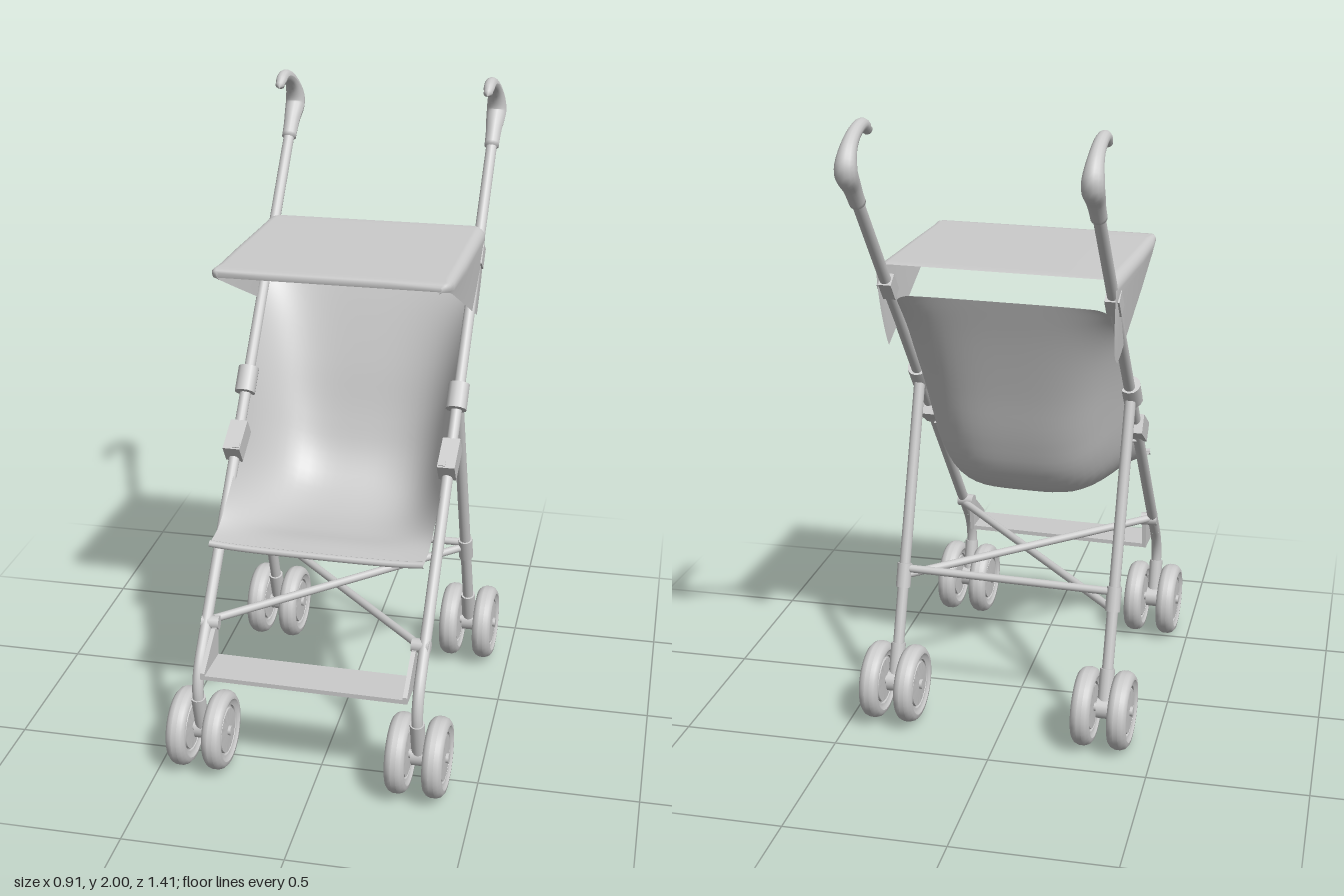
import * as THREE from 'three';
import { toCreasedNormals } from 'three/addons/utils/BufferGeometryUtils.js';

const grey = new THREE.MeshStandardMaterial({ color: 0xcccccc });
const cloth = new THREE.MeshStandardMaterial({ color: 0xcccccc, side: THREE.DoubleSide });
const V = (x, y, z) => new THREE.Vector3(x, y, z);
const lerp = THREE.MathUtils.lerp;
const HALF = 0.348; // half distance between the two side frames
const AXLE_Y = 0.13;

function add(parent, name, geometry, material = grey) {
  const mesh = new THREE.Mesh(geometry, material);
  mesh.name = name;
  parent.add(mesh);
  return mesh;
}

// Straight round bar between two points
function bar(parent, name, a, b, r, sides = 14) {
  const mesh = add(parent, name, new THREE.CylinderGeometry(r, r, a.distanceTo(b), sides));
  mesh.position.copy(a).lerp(b, 0.5);
  mesh.quaternion.setFromUnitVectors(V(0, 1, 0), b.clone().sub(a).normalize());
  return mesh;
}

// Smooth surface through rows of points
function sheet(rows) {
  const n = rows[0].length, index = [];
  for (let i = 0; i < rows.length - 1; i++)
    for (let j = 0; j < n - 1; j++) {
      const a = i * n + j, b = a + n;
      index.push(a, b, a + 1, b, b + 1, a + 1);
    }
  const g = new THREE.BufferGeometry().setFromPoints(rows.flat());
  g.setIndex(index);
  g.computeVertexNormals();
  return g;
}

// Round tube with a radius that changes along its length, closed at both ends
function taperTube(curve, radius, steps, sides = 14) {
  const g = new THREE.TubeGeometry(curve, steps, 1, sides);
  const p = g.attributes.position, c = V(), q = V();
  for (let i = 0; i <= steps; i++) {
    curve.getPointAt(i / steps, c);
    for (let j = 0; j <= sides; j++) {
      const k = i * (sides + 1) + j;
      q.fromBufferAttribute(p, k).sub(c).multiplyScalar(radius(i / steps)).add(c);
      p.setXYZ(k, q.x, q.y, q.z);
    }
  }
  g.computeVertexNormals();
  return g;
}

const curveZY = (x, pts) => new THREE.CatmullRomCurve3(pts.map(([z, y]) => V(x, y, z)));

// Pair of wheels with hub, axle and fork sleeve
function wheelPair(x, z, name) {
  const group = new THREE.Group();
  group.name = name;
  const half = [[0.125, 0.008], [0.12, 0.021], [0.11, 0.03], [0.099, 0.031], [0.092, 0.025], [0.08, 0.023],
    [0.078, 0.017], [0.073, 0.017], [0.071, 0.024], [0.03, 0.026], [0, 0.026]];
  const profile = [...half.map(([r, y]) => [r, -y]).reverse(), ...half].map(p => new THREE.Vector2(...p));
  const wheel = toCreasedNormals(new THREE.LatheGeometry(profile, 36).rotateZ(Math.PI / 2), 0.7);
  for (const s of [-1, 1]) {
    add(group, 'wheel', wheel).position.x = s * 0.058;
    bar(group, 'hubBolt', V(s * 0.08, 0, 0), V(s * 0.093, 0, 0), 0.016, 10);
  }
  bar(group, 'axle', V(-0.06, 0, 0), V(0.06, 0, 0), 0.014);
  bar(group, 'hubBlock', V(-0.022, 0, 0), V(0.022, 0, 0), 0.034, 20);
  group.position.set(x, AXLE_Y, z);
  return group;
}

// One side of the frame; s is +1 for left and -1 for right
function sideFrame(s) {
  const group = new THREE.Group();
  group.name = s > 0 ? 'leftFrame' : 'rightFrame';
  const x = s * HALF;

  const foot = new THREE.CurvePath();
  foot.add(new THREE.LineCurve3(V(x, 1.78, -0.585), V(x, 0.4, 0.548)));
  foot.add(new THREE.QuadraticBezierCurve3(V(x, 0.4, 0.548), V(x, 0.33, 0.61), V(x, 0.25, 0.602)));
  foot.add(new THREE.LineCurve3(V(x, 0.25, 0.602), V(x, AXLE_Y, 0.567)));
  for (const [i, c] of foot.curves.entries())
    add(group, 'mainTube', new THREE.TubeGeometry(c, i === 1 ? 10 : 1, 0.018, 14));
  bar(group, 'frontForkSleeve', V(x, 0.26, 0.602), V(x, 0.13, 0.572), 0.023);

  // Rear leg
  bar(group, 'rearLeg', V(x, 1.08, -0.012), V(x, AXLE_Y, -0.305), 0.018);
  bar(group, 'rearForkSleeve', V(x, 0.25, -0.268), V(x, 0.13, -0.305), 0.024);
  group.add(wheelPair(x, 0.567, 'frontWheels'), wheelPair(x, -0.305, 'rearWheels'));

  // Hooked hand grip
  const grip = curveZY(x, [[-0.565, 1.755], [-0.62, 1.82], [-0.663, 1.868], [-0.645, 1.92],
    [-0.59, 1.963], [-0.52, 1.978], [-0.468, 1.95]]);
  add(group, 'handGrip', taperTube(grip, t => {
    if (t === 0 || t === 1) return 0.001;
    return t > 0.94 ? 0.015 : 0.024 + 0.009 * Math.exp(-(((t - 0.36) / 0.16) ** 2)) - 0.007 * Math.max(0, t - 0.4) / 0.6;
  }, 36));

  // Hinge bracket where the rear leg meets the tube, and the folding latch below it
  const hinge = add(group, 'hingeBracket', new THREE.CylinderGeometry(0.034, 0.034, 0.085, 12));
  hinge.position.set(x, 1.09, -0.008);
  hinge.rotation.x = -0.68;
  const latch = add(group, 'foldingLatch', new THREE.BoxGeometry(0.056, 0.064, 0.115));
  latch.position.set(x, 0.93, 0.12);
  latch.rotation.x = 0.55;
  const lever = add(group, 'latchLever', new THREE.BoxGeometry(0.022, 0.075, 0.022));
  lever.position.set(x - s * 0.014, 0.905, 0.155);
  lever.rotation.x = 0.5;

  // Joints for the cross braces
  bar(group, 'frontBraceJoint', V(x - s * 0.04, 0.465, 0.485), V(x + s * 0.015, 0.465, 0.49), 0.022);
  bar(group, 'rearBraceJoint', V(x, 0.50, -0.191), V(x, 0.425, -0.214), 0.024);
  // Canopy clip
  const clip = add(group, 'canopyClip', new THREE.BoxGeometry(0.045, 0.07, 0.045));
  clip.position.set(x, 1.46, -0.322);
  clip.rotation.x = -0.68;
  return group;
}

// Sling seat: the sides follow the tubes while the middle hangs behind them
function seat() {
  const edge = curveZY(0, [[0.462, 0.727], [0.37, 0.74], [0.28, 0.79], [0.17, 0.87], [0.08, 0.98],
    [0, 1.08], [-0.1, 1.2], [-0.19, 1.31], [-0.31, 1.432]]);
  const middle = curveZY(0, [[0.46, 0.718], [0.36, 0.718], [0.24, 0.70], [0.08, 0.70], [-0.03, 0.735],
    [-0.1, 0.81], [-0.15, 0.93], [-0.2, 1.1], [-0.262, 1.29], [-0.315, 1.435]]);
  const rows = [], N = 48, M = 32, R = 0.06;
  for (let i = 0; i <= N; i++) {
    const k = i / N, u = k < 0.5 ? k * 1.2 : 1 - 1.6 * (1 - k) ** 2;
    const e = edge.getPointAt(u), m = middle.getPointAt(u);
    const gap = Math.max(0, R - (1.435 - m.y));
    const w = 0.337 - R + Math.sqrt(Math.max(0, R * R - gap * gap));
    const row = [];
    for (let j = 0; j <= M; j++) {
      const a = Math.sin((j / M - 0.5) * Math.PI);
      const f = Math.abs(a) ** 4;
      row.push(V(a * w, lerp(m.y, e.y, f), lerp(m.z, e.z, f)));
    }
    rows.push(row);
  }
  return { geometry: sheet(rows), hem: new THREE.CatmullRomCurve3(rows[0]) };
}

// Canopy: flat top with rounded shoulders and tapering side panels
function canopy() {
  // zTop, zBottom, yTop, yBottom, half width
  const stations = [[-0.38, -0.318, 1.543, 1.29, 0.365], [-0.365, -0.295, 1.545, 1.268, 0.368],
    [-0.34, -0.26, 1.545, 1.282, 0.37], [-0.2, -0.14, 1.545, 1.338, 0.372], [0, 0.03, 1.545, 1.417, 0.376],
    [0.19, 0.2, 1.545, 1.497, 0.378], [0.24, 0.24, 1.545, 1.515, 0.376], [0.26, 0.26, 1.543, 1.52, 0.366],
    [0.268, 0.268, 1.537, 1.52, 0.352], [0.264, 0.264, 1.522, 1.515, 0.35]];
  const rows = stations.map(([zT, zB, yT, yB, w]) => {
    const r = Math.min(0.035, (yT - yB) * 0.8), half = [];
    const put = (x, y) => {
      const t = (yT - y) / (yT - yB);
      half.push(V(x - 0.012 * t, y, lerp(zT, zB, t * t)));
    };
    for (let i = 0; i < 8; i++) put(w, lerp(yB, yT - r, i / 8));
    for (let i = 0; i <= 6; i++) {
      const a = i / 6 * Math.PI / 2;
      put(w - r + r * Math.cos(a), yT - r + r * Math.sin(a));
    }
    put(w * 0.5, yT);
    const other = half.map(p => V(-p.x, p.y, p.z)).reverse();
    return [...half, V(0, yT, zT), ...other];
  });
  return sheet(rows);
}

// Footrest: thin plate with triangular end flaps
function footrest() {
  const group = new THREE.Group();
  group.name = 'footrest';
  add(group, 'footPlate', new THREE.BoxGeometry(0.63, 0.014, 0.14)).position.set(0, 0.355, 0.57);
  const flap = new THREE.Shape([[0.64, 0.348], [0.64, 0.37], [0.52, 0.46], [0.49, 0.455], [0.5, 0.348]]
    .map(p => new THREE.Vector2(...p)));
  const g = new THREE.ExtrudeGeometry(flap, { depth: 0.014, bevelEnabled: false });
  g.translate(0, 0, -0.007).rotateY(-Math.PI / 2);
  for (const s of [-1, 1]) add(group, 'footrestFlap', g).position.x = s * 0.318;
  return group;
}

export function createModel() {
  const model = new THREE.Group();
  model.name = 'stroller';
  const body = new THREE.Group();
  body.name = 'strollerBody';
  model.add(body);

  body.add(sideFrame(1), sideFrame(-1), footrest());

  const { geometry, hem } = seat();
  add(body, 'seat', geometry, cloth);
  add(body, 'seatFrontHem', new THREE.TubeGeometry(hem, 40, 0.011, 8));
  add(body, 'canopy', canopy(), cloth);

  // Crossed braces and rear bar
  const w = HALF - 0.01;
  bar(body, 'crossBrace', V(-w, 0.47, 0.48), V(w, 0.465, -0.2), 0.013);
  bar(body, 'crossBrace', V(w, 0.455, 0.48), V(-w, 0.435, -0.21), 0.013);
  bar(body, 'rearBar', V(-w, 0.485, -0.197), V(w, 0.485, -0.197), 0.013);

  // Slight turn and lean of the whole body
  body.rotation.set(0, -0.036, 0.01, 'YXZ');
  return model;
}
